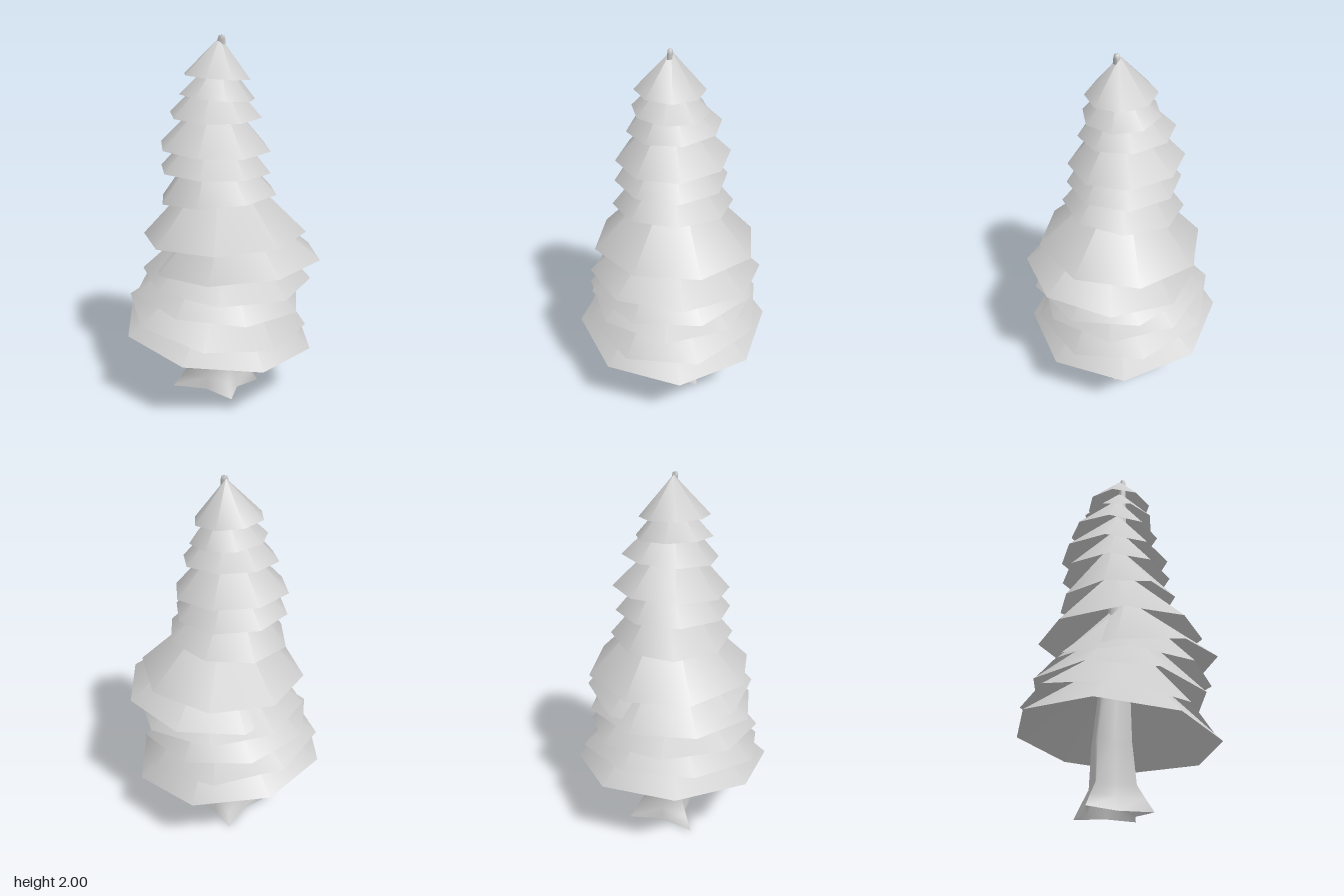
import * as THREE from 'three';

const UP = new THREE.Vector3(0, 1, 0);

// Branch tiers: [left x, left y, right x, right y, front z, front y, back z, back y, height/radius, turn]
const TIERS = [
  [-0.56, 0.44, 0.52, 0.32, 0.545, 0.38, -0.545, 0.38, 0.9, 0],
  [-0.52, 0.55, 0.47, 0.41, 0.5, 0.47, -0.5, 0.5, 0.95, 0.2],
  [-0.48, 0.64, 0.455, 0.56, 0.475, 0.6, -0.465, 0.59, 1, -0.15],
  [-0.43, 0.73, 0.49, 0.69, 0.46, 0.7, -0.46, 0.715, 1, 0.25],
  [-0.38, 0.755, 0.555, 0.84, 0.46, 0.8, -0.48, 0.79, 0.9, 0],
  [-0.43, 0.92, 0.455, 0.96, 0.43, 0.945, -0.455, 0.935, 1.02, 0.22],
  [-0.345, 1.13, 0.31, 1.18, 0.325, 1.155, -0.33, 1.155, 1.2, 0],
  [-0.335, 1.305, 0.27, 1.29, 0.31, 1.3, -0.3, 1.3, 1.15, 0.08],
  [-0.345, 1.435, 0.27, 1.405, 0.3, 1.41, -0.31, 1.435, 1.05, 0.05],
  [-0.285, 1.6, 0.215, 1.58, 0.24, 1.575, -0.26, 1.605, 1.05, 0.1],
  [-0.215, 1.705, 0.18, 1.675, 0.21, 1.69, -0.19, 1.68, 1.1, -0.25],
  [-0.2, 1.805, 0.165, 1.78, 0.195, 1.795, -0.17, 1.785, 1.1, 0],
];

// Open eight-sided cone, tilted to follow its rim heights
function branchTier([lx, ly, rx, ry, fz, fy, bz, by, ratio, turn], material) {
  const radius = (rx - lx + fz - bz) / 4 / Math.cos(Math.min(Math.abs(turn), 0.2));
  const height = radius * ratio;
  const geometry = new THREE.ConeGeometry(radius, height, 8, 1, true);
  geometry.rotateY(turn);
  geometry.translate(0, height / 2, 0);
  const mesh = new THREE.Mesh(geometry, material);
  const normal = new THREE.Vector3(-(ry - ly) / (rx - lx), 1, -(fy - by) / (fz - bz)).normalize();
  mesh.quaternion.setFromUnitVectors(UP, normal);
  mesh.position.set((lx + rx) / 2, (ly + ry + fy + by) / 4, (fz + bz) / 2);
  return mesh;
}

// Trunk lofted through scaled copies of a four-lobed root outline
function trunkGeometry() {
  const lobes = [[-0.225, 0.14], [0.145, 0.18], [0.22, -0.09], [-0.085, -0.21]];
  const outline = [];
  lobes.forEach(([x, z], i) => {
    const [nx, nz] = lobes[(i + 1) % 4];
    outline.push([x, z, x, z], [(x + nx) * 0.36, (z + nz) * 0.36, (x + nx) / 2, (z + nz) / 2]);
  });
  // [y, scale, centre x, centre z, valley softness]
  const levels = [
    [0, 1, -0.035, -0.04, 0], [0.07, 0.8, -0.035, -0.04, 0.2], [0.14, 0.6, -0.035, -0.035, 0.5],
    [0.36, 0.52, -0.04, -0.035, 0.9], [1, 0.3, -0.02, -0.01, 1], [1.98, 0.08, 0.008, 0.015, 1], [2, 0.06, 0.008, 0.015, 1],
  ];
  const positions = [], index = [], n = outline.length;
  for (const [y, s, cx, cz, soft] of levels) {
    for (const [x, z, sx, sz] of outline) {
      positions.push(cx + s * THREE.MathUtils.lerp(x, sx, soft), y, cz + s * THREE.MathUtils.lerp(z, sz, soft));
    }
  }
  for (let j = 0; j < levels.length - 1; j++) {
    for (let i = 0; i < n; i++) {
      const a = j * n + i, b = j * n + (i + 1) % n;
      index.push(a, b, b + n, a, b + n, a + n);
    }
  }
  // Tip cap
  const top = (levels.length - 1) * n;
  for (let i = 1; i < n - 1; i++) index.push(top, top + i, top + i + 1);
  const geometry = new THREE.BufferGeometry();
  geometry.setAttribute('position', new THREE.Float32BufferAttribute(positions, 3));
  geometry.setIndex(index);
  geometry.computeVertexNormals();
  return geometry;
}

export function createModel() {
  const grey = new THREE.MeshStandardMaterial({ color: 0xcccccc, side: THREE.DoubleSide });
  grey.name = 'light grey';
  const tree = new THREE.Group();
  tree.name = 'pineTree';

  const trunk = new THREE.Mesh(trunkGeometry(), grey);
  trunk.name = 'trunk';
  tree.add(trunk);

  const foliage = new THREE.Group();
  foliage.name = 'foliage';
  TIERS.forEach((tier, i) => {
    const mesh = branchTier(tier, grey);
    mesh.name = `branchTier${i + 1}`;
    foliage.add(mesh);
  });
  tree.add(foliage);
  return tree;
}
